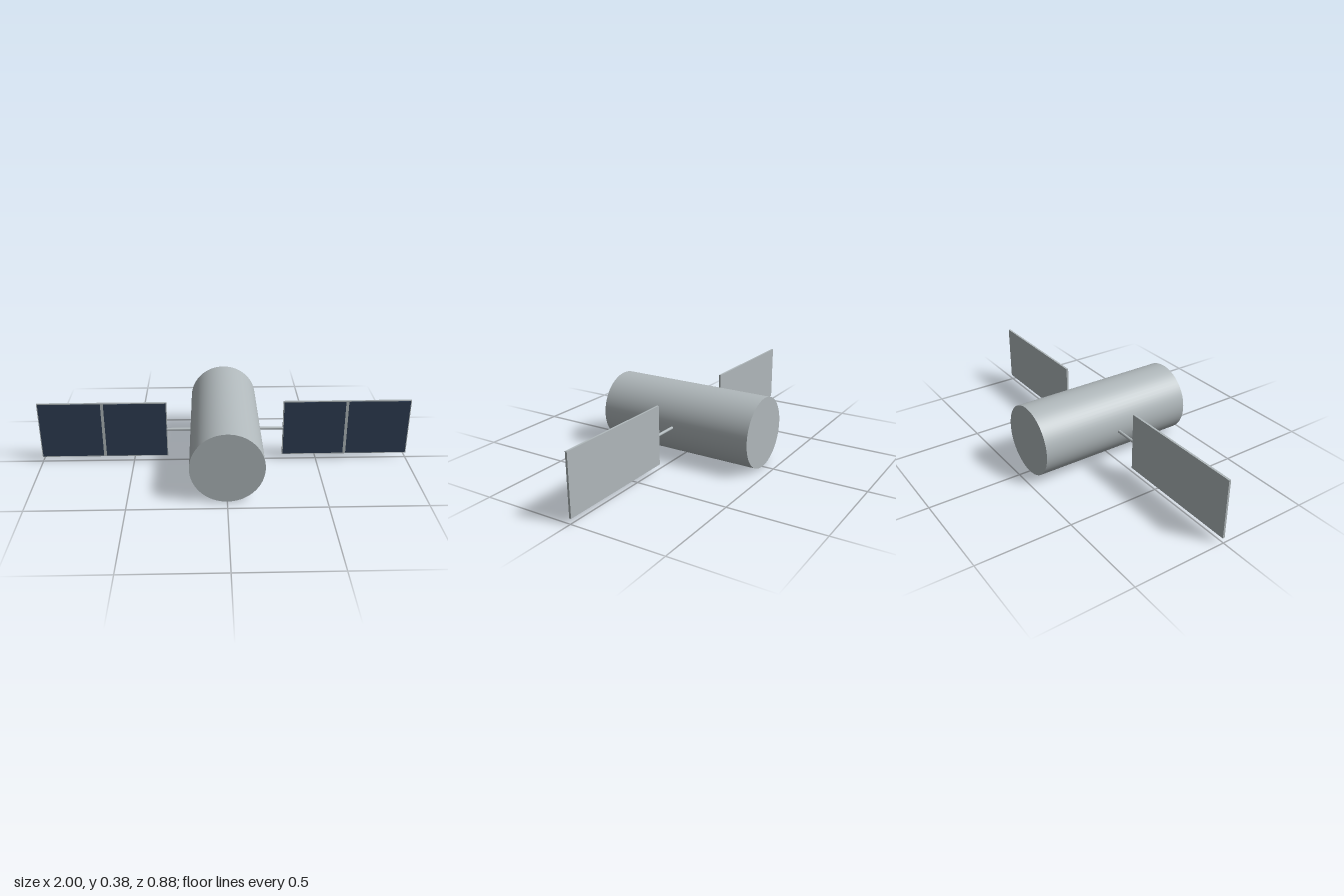
import * as THREE from 'three';

export function createModel() {
  const model = new THREE.Group();
  model.name = 'satellite';
  const metal = new THREE.MeshStandardMaterial({ color: 0xb0b8bb });
  metal.name = 'light grey metal';
  const solar = new THREE.MeshStandardMaterial({ color: 0x2e3d54 });
  solar.name = 'dark blue solar cell';

  const centreY = 0.1875;
  const add = (parent, name, geometry, material, x, y, z) => {
    const mesh = new THREE.Mesh(geometry, material);
    mesh.name = name;
    mesh.position.set(x, y, z);
    parent.add(mesh);
    return mesh;
  };

  // Main cylindrical hull, lying along z
  const hull = new THREE.CylinderGeometry(0.1875, 0.1875, 0.875, 64).rotateX(Math.PI / 2);
  add(model, 'hull', hull, metal, 0, centreY, 0);

  // One wing per side: strut, backing panel and two cells on its front
  for (const side of [1, -1]) {
    const wing = new THREE.Group();
    wing.name = side > 0 ? 'leftWing' : 'rightWing';
    model.add(wing);

    const strut = new THREE.CylinderGeometry(0.0078, 0.0078, 0.14, 20).rotateZ(Math.PI / 2);
    add(wing, 'strut', strut, metal, side * 0.2475, centreY, 0);

    const panel = new THREE.BoxGeometry(0.6875, 0.318, 0.011);
    add(wing, 'panel', panel, metal, side * 0.65625, centreY, -0.0005);

    for (const offset of [-0.1735, 0.1735]) {
      const cell = new THREE.BoxGeometry(0.331, 0.308, 0.002);
      add(wing, 'solarCell', cell, solar, side * 0.65625 + offset, centreY, 0.0055);
    }
  }
  return model;
}
